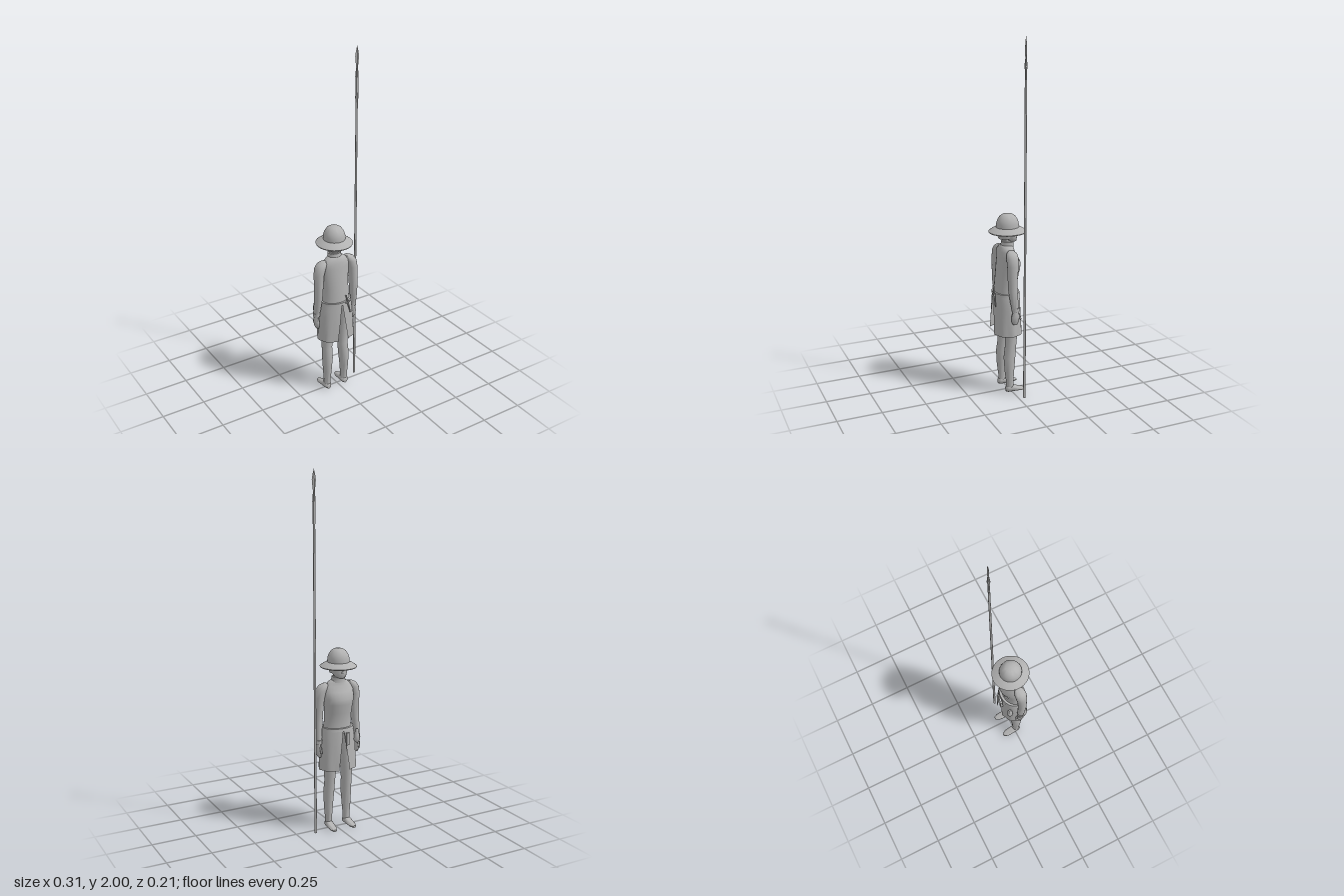
import * as THREE from 'three';
import { toCreasedNormals } from 'three/addons/utils/BufferGeometryUtils.js';

const CX = -0.017; // body centre line; the figure looks towards -z

// Closed skin through elliptical rings [y, cx, cz, rx, rz], listed from bottom to top
function loft(rings, n = 20, crease = 1.0) {
  const first = rings[0], last = rings[rings.length - 1];
  const all = [[first[0], first[1], first[2], 0, 0], ...rings, [last[0], last[1], last[2], 0, 0]];
  const pos = [], idx = [];
  all.forEach(([y, cx, cz, rx, rz]) => {
    for (let i = 0; i < n; i++) {
      const a = (i / n) * Math.PI * 2;
      pos.push(cx + rx * Math.cos(a), y, cz + rz * Math.sin(a));
    }
  });
  for (let j = 0; j < all.length - 1; j++) {
    for (let i = 0; i < n; i++) {
      const a = j * n + i, b = j * n + ((i + 1) % n);
      if (j > 0) idx.push(a, a + n, b);
      if (j === 0) idx.push(a, a + n, b + n);
      else if (j < all.length - 2) idx.push(b, a + n, b + n);
    }
  }
  const g = new THREE.BufferGeometry();
  g.setAttribute('position', new THREE.Float32BufferAttribute(pos, 3));
  g.setIndex(idx);
  g.computeVertexNormals();
  return toCreasedNormals(g, crease);
}

// Half of the split skirt: an open curved panel on side s
function skirtHalf(s) {
  const nu = 18, nv = 6, pos = [], idx = [];
  for (let v = 0; v <= nv; v++) {
    const t = v / nv, gap = 0.02 + 0.28 * t;
    for (let u = 0; u <= nu; u++) {
      const a = (u / nu - 0.5) * (Math.PI - 2 * gap);
      const fold = 1 + 0.025 * t * Math.cos(a * 9);
      const rx = (0.091 + 0.021 * Math.sqrt(t)) * fold, rz = (0.073 + 0.014 * t) * fold;
      pos.push(CX + s * rx * Math.cos(a), 0.585 - 0.232 * t, 0.011 + rz * Math.sin(a));
    }
  }
  for (let v = 0; v < nv; v++) for (let u = 0; u < nu; u++) {
    const a = v * (nu + 1) + u, b = a + 1, c = a + nu + 1, d = c + 1;
    if (s > 0) idx.push(a, b, c, b, d, c);
    else idx.push(a, c, b, b, c, d);
  }
  const g = new THREE.BufferGeometry();
  g.setAttribute('position', new THREE.Float32BufferAttribute(pos, 3));
  g.setIndex(idx);
  g.computeVertexNormals();
  return g;
}

export function createModel() {
  const model = new THREE.Group();
  model.name = 'spearman';
  const grey = new THREE.MeshStandardMaterial({ color: 0xb2b2b2, side: THREE.DoubleSide });
  grey.name = 'grey';

  const add = (name, geometry, x = 0, y = 0, z = 0) => {
    const m = new THREE.Mesh(geometry, grey);
    m.name = name;
    m.position.set(x, y, z);
    model.add(m);
    return m;
  };

  // Broad-brimmed hat
  const hatProfile = [[0, 0.957], [0.06, 0.952], [0.1, 0.934], [0.102, 0.939], [0.078, 0.955], [0.061, 0.963],
    [0.06, 0.985], [0.054, 1.004], [0.042, 1.023], [0.027, 1.034], [0, 1.037]];
  const hat = add('hat', toCreasedNormals(new THREE.LatheGeometry(
    hatProfile.map(p => new THREE.Vector2(...p)), 32), 0.8), CX, 0, 0);
  hat.scale.z = 1.04;

  // Head, face and neck
  add('head', loft([
    [0.876, CX, -0.034, 0.014, 0.012], [0.884, CX, -0.022, 0.031, 0.03],
    [0.905, CX, -0.008, 0.043, 0.046], [0.935, CX, -0.003, 0.048, 0.051], [0.965, CX, 0, 0.05, 0.052]]));
  add('hair', loft([[0.9, CX, 0.018, 0.042, 0.034], [0.925, CX, 0.016, 0.052, 0.041],
    [0.958, CX, 0.012, 0.053, 0.044]]));
  const nose = add('nose', new THREE.ConeGeometry(0.009, 0.03, 8), CX, 0.922, -0.056);
  nose.rotation.x = -0.25;
  add('mouth', new THREE.BoxGeometry(0.02, 0.004, 0.008), CX, 0.897, -0.047);
  add('neck', loft([[0.84, CX, 0.006, 0.035, 0.032], [0.885, CX, 0, 0.03, 0.029], [0.905, CX, 0, 0.03, 0.028]]));
  add('collar', loft([[0.85, CX, 0.004, 0.044, 0.038], [0.868, CX, 0.002, 0.038, 0.034],
    [0.882, CX, 0, 0.039, 0.035]]));

  // Jacket with a full, low chest
  add('jacket', loft([
    [0.57, CX, 0.014, 0.086, 0.062], [0.62, CX, 0.013, 0.079, 0.06], [0.68, CX, 0.006, 0.08, 0.062],
    [0.73, CX, -0.002, 0.085, 0.065], [0.76, CX, -0.005, 0.088, 0.065], [0.8, CX, 0.002, 0.09, 0.053],
    [0.83, CX, 0.01, 0.082, 0.042], [0.85, CX, 0.009, 0.058, 0.037], [0.862, CX, 0.006, 0.04, 0.033]], 24));
  add('belt', loft([[0.578, CX, 0.011, 0.094, 0.076], [0.594, CX, 0.012, 0.092, 0.074]], 24));

  for (const s of [1, -1]) {
    const side = s > 0 ? 'left' : 'right';
    const x = d => CX + s * d;
    add(side + 'Skirt', skirtHalf(s));

    // Sleeve with a puffed shoulder, cuff and hand
    add(side + 'Sleeve', loft([
      [0.515, x(0.121), 0.006, 0.016, 0.018], [0.56, x(0.12), 0.011, 0.02, 0.023],
      [0.63, x(0.116), 0.018, 0.023, 0.026], [0.7, x(0.113), 0.018, 0.025, 0.028],
      [0.77, x(0.11), 0.015, 0.029, 0.032], [0.81, x(0.1), 0.013, 0.032, 0.034],
      [0.834, x(0.088), 0.012, 0.027, 0.029], [0.845, x(0.078), 0.012, 0.014, 0.017]], 16));
    add(side + 'Cuff', loft([[0.508, x(0.122), 0.004, 0.019, 0.021], [0.53, x(0.121), 0.005, 0.02, 0.022]], 16));
    add(side + 'Hand', loft([
      [0.43, x(0.117), 0.004, 0.009, 0.013], [0.45, x(0.121), 0.006, 0.014, 0.022],
      [0.478, x(0.124), 0.006, 0.014, 0.024], [0.512, x(0.122), 0.004, 0.012, 0.015]], 14));
    const thumb = add(side + 'Thumb', new THREE.CapsuleGeometry(0.006, 0.03, 4, 8), x(0.12), 0.475, -0.021);
    thumb.rotation.x = 0.3;

    // Leg with calf, and a pointed shoe
    add(side + 'Leg', loft([
      [0.02, x(0.057), 0.01, 0.02, 0.021], [0.06, x(0.057), 0.011, 0.02, 0.021],
      [0.13, x(0.057), 0.013, 0.025, 0.028], [0.21, x(0.055), 0.012, 0.03, 0.034],
      [0.28, x(0.053), 0.004, 0.03, 0.032], [0.35, x(0.052), 0.001, 0.034, 0.036],
      [0.46, x(0.045), 0.004, 0.039, 0.048], [0.56, x(0.04), 0.01, 0.045, 0.055]], 18));
    const shoe = loft([
      [-0.034, 0, 0.018, 0.013, 0.014], [-0.022, 0, 0.022, 0.021, 0.022], [0, 0, 0.022, 0.022, 0.022],
      [0.03, 0, 0.016, 0.023, 0.015], [0.058, 0, 0.011, 0.021, 0.011], [0.08, 0, 0.008, 0.009, 0.007]], 16);
    shoe.rotateX(-Math.PI / 2);
    add(side + 'Shoe', shoe, x(0.058), 0, 0).rotation.y = -s * 0.05;
  }

  // Small things hung from the belt
  add('pouch', loft([[0.5, 0, 0, 0.01, 0.01], [0.515, 0, 0, 0.018, 0.018],
    [0.545, 0, 0, 0.015, 0.015], [0.58, 0, 0, 0.006, 0.006]], 12), -0.108, 0, -0.05);
  add('purse', new THREE.BoxGeometry(0.016, 0.07, 0.014), -0.037, 0.535, -0.072);

  const dagger = new THREE.Group();
  dagger.name = 'dagger';
  const part = (name, geometry, y) => {
    const m = new THREE.Mesh(geometry, grey);
    m.name = name;
    m.position.y = y;
    dagger.add(m);
  };
  part('sheath', new THREE.CylinderGeometry(0.006, 0.003, 0.07, 8), -0.03);
  part('guard', new THREE.BoxGeometry(0.026, 0.005, 0.008), 0.008);
  part('grip', new THREE.CylinderGeometry(0.005, 0.004, 0.045, 8), 0.033);
  dagger.position.set(0.015, 0.587, 0.093);
  dagger.rotation.z = 0.25;
  model.add(dagger);

  // Long spear: shaft, langets, socket and leaf blade
  const sx = 0.145, sz = -0.033;
  add('spearShaft', new THREE.CylinderGeometry(0.006, 0.007, 1.85, 10), sx, 0.925, sz);
  for (const s of [1, -1]) add('langet', new THREE.BoxGeometry(0.003, 0.13, 0.006), sx + s * 0.006, 1.785, sz);
  add('spearSocket', loft([[1.835, 0, 0, 0.009, 0.009], [1.85, 0, 0, 0.008, 0.008],
    [1.885, 0, 0, 0.005, 0.005]], 10), sx, 0, sz);
  add('spearBlade', loft([[1.875, 0, 0, 0.004, 0.004], [1.915, 0, 0, 0.009, 0.005],
    [1.945, 0, 0, 0.012, 0.005], [1.97, 0, 0, 0.008, 0.004], [2, 0, 0, 0.0005, 0.0005]], 4, 0.3), sx, 0, sz);

  return model;
}
